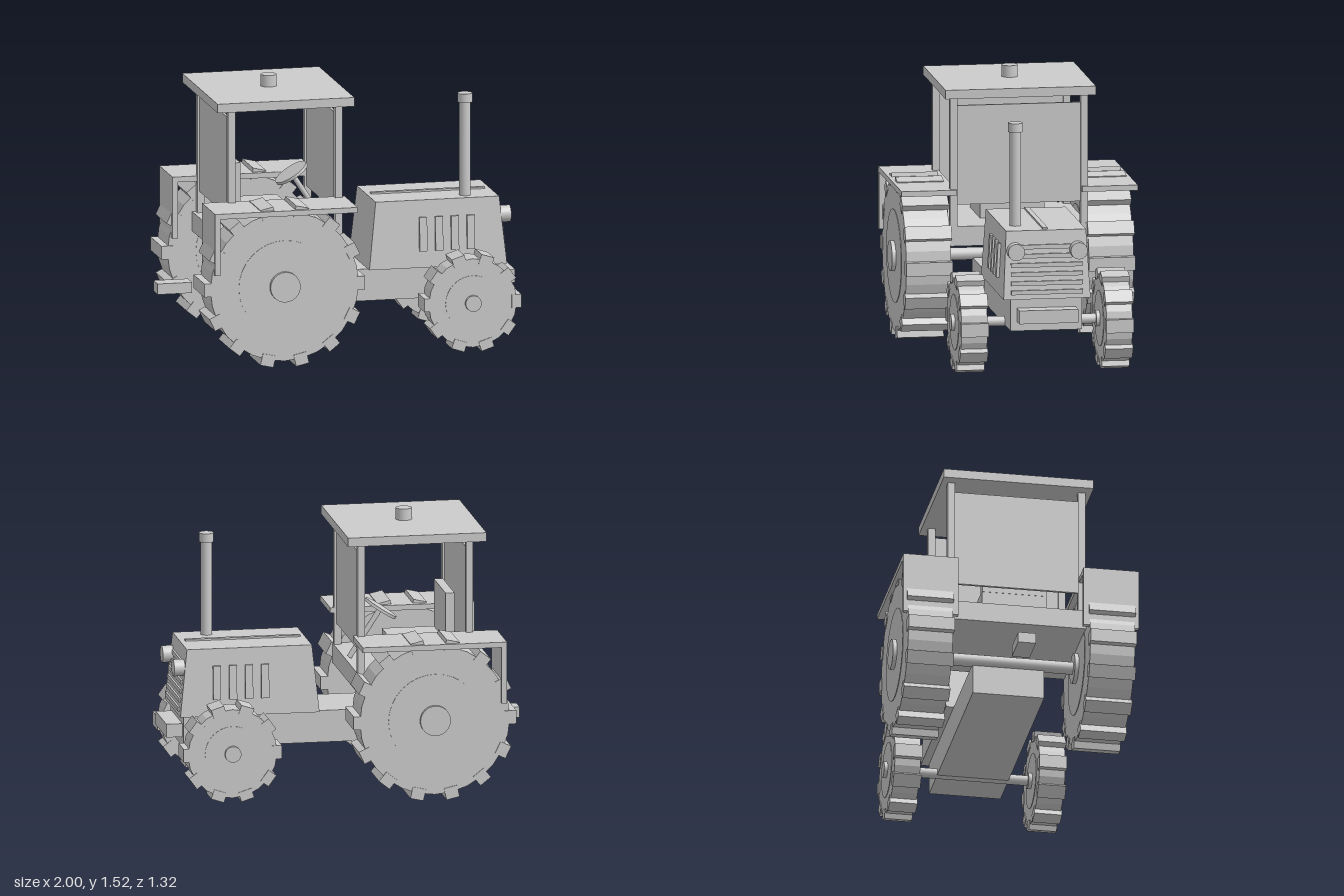
import * as THREE from 'three';

const grey = new THREE.MeshStandardMaterial({ color: 0xcccccc });
const faceted = new THREE.MeshStandardMaterial({ color: 0xcccccc, flatShading: true });

function add(parent, name, geometry, x = 0, y = 0, z = 0, material = grey) {
  const mesh = new THREE.Mesh(geometry, material);
  mesh.name = name;
  mesh.position.set(x, y, z);
  parent.add(mesh);
  return mesh;
}

// Box given by its limits on each axis
function box(parent, name, [x0, x1], [y0, y1], [z0, z1]) {
  return add(parent, name, new THREE.BoxGeometry(x1 - x0, y1 - y0, z1 - z0),
    (x0 + x1) / 2, (y0 + y1) / 2, (z0 + z1) / 2);
}

// Cylinder lying along 'x', 'y' or 'z'
function rod(parent, name, radius, length, axis, x, y, z, sides = 24, material = grey) {
  const g = new THREE.CylinderGeometry(radius, radius, length, sides);
  if (axis === 'z') g.rotateX(Math.PI / 2);
  if (axis === 'x') g.rotateZ(Math.PI / 2);
  return add(parent, name, g, x, y, z, material);
}

// Wheel with straight lugs around the tyre, a rim disc and a hub
function wheel(name, { radius, lugRadius, width, lugs, lugWidth, rim, hub, hubOut }) {
  const group = new THREE.Group();
  group.name = name;
  rod(group, 'tyre', radius, width - 0.01, 'z', 0, 0, 0, lugs * 2, faceted);
  rod(group, 'rim', rim, width - 0.004, 'z', 0, 0, 0, 32);
  rod(group, 'hub', hub, width + 2 * hubOut, 'z', 0, 0, 0);
  const depth = lugRadius - radius + 0.03;
  for (let i = 0; i < lugs; i++) {
    const a = (i / lugs) * Math.PI * 2;
    const r = lugRadius - depth / 2;
    const lug = add(group, 'lug', new THREE.BoxGeometry(depth, lugWidth, width),
      Math.cos(a) * r, Math.sin(a) * r, 0);
    lug.rotation.z = a;
  }
  return group;
}

export function createModel() {
  const model = new THREE.Group();
  model.name = 'tractor';

  // Chassis, front weight and rear hitch
  box(model, 'chassis', [-0.43, 0.91], [0.257, 0.436], [-0.2, 0.2]);
  box(model, 'frontWeight', [0.9, 1], [0.31, 0.385], [-0.165, 0.165]);
  box(model, 'hitch', [-1, -0.805], [0.317, 0.377], [-0.05, 0.05]);

  // Axles and wheels
  rod(model, 'rearAxle', 0.035, 1.0, 'z', -0.42, 0.456, 0, 16);
  rod(model, 'frontAxle', 0.028, 0.8, 'z', 0.685, 0.275, 0, 16);
  for (const side of [-1, 1]) {
    const rear = wheel('rearWheel', { radius: 0.42, lugRadius: 0.456, width: 0.26, lugs: 14,
      lugWidth: 0.075, rim: 0.26, hub: 0.085, hubOut: 0.02 });
    rear.position.set(-0.42, 0.456, side * 0.51);
    const front = wheel('frontWheel', { radius: 0.25, lugRadius: 0.275, width: 0.155, lugs: 10,
      lugWidth: 0.075, rim: 0.155, hub: 0.045, hubOut: 0.018 });
    front.position.set(0.685, 0.275, side * 0.405);
    model.add(rear, front);
  }

  // Hood, tapering toward its top
  const hood = new THREE.BoxGeometry(1, 1, 1);
  const p = hood.attributes.position;
  for (let i = 0; i < p.count; i++) {
    const top = p.getY(i) > 0;
    const x = p.getX(i) > 0 ? (top ? 0.895 : 0.935) : (top ? 0.195 : 0.155);
    p.setXYZ(i, x, top ? 0.815 : 0.437, Math.sign(p.getZ(i)) * (top ? 0.223 : 0.243));
  }
  hood.computeVertexNormals();
  add(model, 'hood', hood);
  box(model, 'hoodRidge', [0.22, 0.865], [0.8, 0.825], [-0.014, 0.014]);

  // Grille slats following the slope of the nose
  for (let i = 0; i < 6; i++) {
    const y = 0.475 + i * 0.05;
    const x = 0.935 - (y - 0.437) * 0.106;
    box(model, 'grilleSlat', [x - 0.02, x + 0.01], [y - 0.012, y + 0.012], [-0.2, 0.2]);
  }

  // Headlights and side vents
  for (const side of [-1, 1]) {
    rod(model, 'headlight', 0.047, 0.06, 'x', 0.935, 0.705, side * 0.175);
    for (let i = 0; i < 4; i++) {
      const x = 0.46 + i * 0.09;
      const vent = add(model, 'vent', new THREE.BoxGeometry(0.043, 0.19, 0.025), x, 0.625, side * 0.237);
      vent.rotation.x = -side * 0.053;
    }
  }

  // Exhaust stack
  rod(model, 'exhaustPipe', 0.032, 0.56, 'y', 0.72, 1.07, 0.143);
  rod(model, 'exhaustCap', 0.041, 0.05, 'y', 0.72, 1.365, 0.143);

  // Cab floor, posts, panes and roof
  box(model, 'cabFloor', [-0.7, -0.03], [0.57, 0.68], [-0.385, 0.385]);
  for (const x of [-0.66, -0.053]) {
    for (const z of [-0.365, 0.365]) {
      box(model, 'cabPost', [x - 0.02, x + 0.02], [0.67, 1.41], [z - 0.02, z + 0.02]);
    }
    box(model, 'cabPane', [x - 0.008, x + 0.008], [0.8, 1.355], [-0.35, 0.35]);
  }
  box(model, 'roof', [-0.748, 0.027], [1.405, 1.455], [-0.42, 0.42]);
  rod(model, 'beacon', 0.045, 0.07, 'y', -0.36, 1.485, 0);

  // Fenders over the rear wheels
  for (const z of [[-0.66, -0.35], [0.35, 0.66]]) {
    box(model, 'fenderTop', [-0.82, -0.012], [0.857, 0.887], z);
    box(model, 'fenderBack', [-0.82, -0.79], [0.54, 0.887], z);
  }

  // Seat
  box(model, 'seatCushion', [-0.61, -0.27], [0.67, 0.8], [-0.18, 0.18]);
  box(model, 'seatBack', [-0.612, -0.562], [0.79, 1.067], [-0.18, 0.18]);

  // Steering column and wheel
  const tilt = Math.PI * 33 / 180;
  const column = rod(model, 'steeringColumn', 0.015, 0.32, 'y', -0.142, 0.82, 0, 12);
  column.rotation.z = tilt;
  const steering = rod(model, 'steeringWheel', 0.1, 0.016, 'y', -0.23, 0.955, 0);
  steering.rotation.z = tilt;

  return model;
}
